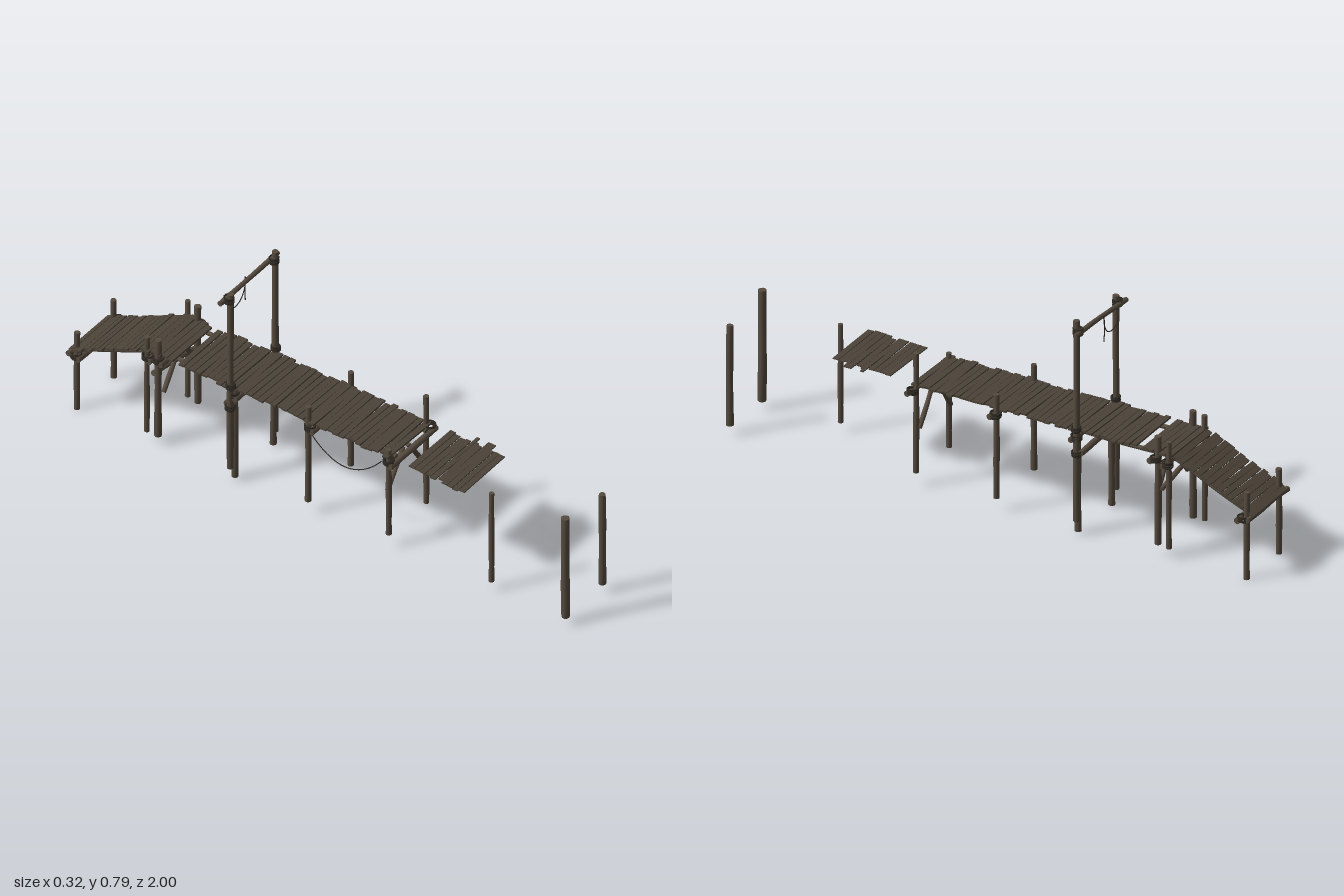
import * as THREE from 'three';

export function createModel() {
  const pier = new THREE.Group();
  pier.name = 'pier';
  const wood = new THREE.MeshStandardMaterial({ color: 0x564b3f, name: 'weathered wood' });
  const board = new THREE.MeshStandardMaterial({ color: 0x4c4338, name: 'plank wood' });
  const cord = new THREE.MeshStandardMaterial({ color: 0x2f2a24, name: 'dark rope' });

  let seed = 7;
  const rand = (a, b) => {
    seed = (seed * 16807) % 2147483647;
    return a + (b - a) * (seed / 2147483647);
  };
  const v = (x, y, z) => new THREE.Vector3(x, y, z);
  const add = (name, geometry, material) => {
    const mesh = new THREE.Mesh(geometry, material);
    mesh.name = name;
    pier.add(mesh);
    return mesh;
  };

  // Slightly crooked round log between two points
  function log(name, a, b, r) {
    const len = a.distanceTo(b);
    const g = new THREE.CylinderGeometry(r * 0.94, r, len, 10, 6);
    const p = g.attributes.position;
    const ph = rand(0, 6);
    for (let i = 0; i < p.count; i++) {
      const t = p.getY(i) / len + 0.5;
      const s = 1 + 0.06 * Math.sin(t * 9 + ph);
      const bend = Math.sin(t * Math.PI * 2 + ph) * r * 0.12;
      p.setXYZ(i, p.getX(i) * s + bend, p.getY(i), p.getZ(i) * s - bend);
    }
    g.computeVertexNormals();
    const m = add(name, g, wood);
    m.position.copy(a).lerp(b, 0.5);
    m.quaternion.setFromUnitVectors(v(0, 1, 0), b.clone().sub(a).normalize());
    return m;
  }
  const post = (name, x, z, y0, y1, r) => log(name, v(x, y0, z), v(x + rand(-0.002, 0.002), y1, z), r);

  // Turns of rope around a post
  function lashing(x, y, z, r, turns = 4) {
    for (let i = 0; i < turns; i++) {
      const m = add('lashing', new THREE.TorusGeometry(r, 0.0028, 5, 14), cord);
      m.position.set(x, y + (i - (turns - 1) / 2) * 0.005, z);
      m.rotation.set(Math.PI / 2 + rand(-0.12, 0.12), rand(-0.12, 0.12), 0);
    }
  }
  const rope = (name, points) =>
    add(name, new THREE.TubeGeometry(new THREE.CatmullRomCurve3(points), 24, 0.0018, 5), cord);

  // Row of uneven planks laid from a to b
  function planks(name, a, b, count, thick, width, cx, skip = []) {
    const pitch = a.distanceTo(b) / count;
    const slope = Math.atan2(b.y - a.y, a.z - b.z);
    for (let i = 0; i < count; i++) {
      const w = width + rand(-0.014, 0.008);
      const d = pitch * rand(0.84, 0.97);
      const offset = rand(-0.006, 0.006), turn = rand(-0.025, 0.025), lift = rand(-0.0015, 0.0015);
      if (skip.includes(i)) continue;
      const m = add(name, new THREE.BoxGeometry(w, thick, d), board);
      m.position.copy(a).lerp(b, (i + 0.5) / count);
      m.position.x = cx + offset;
      m.position.y += lift;
      m.rotation.set(slope, turn, rand(-0.008, 0.008));
    }
  }

  // Free-standing posts in front
  post('frontPost', -0.105, 0.985, 0.035, 0.44, 0.0145);
  post('frontPost', 0.1, 0.985, 0.04, 0.405, 0.0125);
  post('outerPost', -0.1, 0.685, 0.04, 0.4, 0.0095);

  // Pairs of deck posts: z, left x, right x, bottom, left top, right top, radius
  const bents = [
    [0.28, 0.1, -0.108, 0.055, 0.492, 0.4, 0.01],
    [-0.035, 0.118, -0.118, 0.055, 0.435, 0.44, 0.0105],
    [-0.64, 0.108, -0.112, 0.045, 0.44, 0.435, 0.012],
    [-0.685, 0.115, -0.112, 0.045, 0.435, 0.43, 0.0095],
    [-0.97, 0.1, -0.105, 0.003, 0.32, 0.315, 0.0105],
  ];
  for (const [z, xl, xr, y0, tl, tr, r] of bents) {
    post('deckPost', xl, z, y0, tl, r);
    post('deckPost', xr, z, y0, tr, r);
  }

  // Tall gate with a top beam, plus short doubling posts
  post('gatePost', 0.122, -0.34, 0.055, 0.79, 0.0115);
  post('gatePost', -0.128, -0.34, 0.06, 0.77, 0.0115);
  for (const s of [-1, 1]) post('gateSidePost', s * 0.106, -0.336, 0.012, 0.37, 0.011);
  log('gateBeam', v(-0.163, 0.744, -0.356), v(0.161, 0.753, -0.356), 0.0088);
  lashing(0.122, 0.752, -0.345, 0.0155, 5);
  lashing(-0.128, 0.746, -0.345, 0.0155, 5);

  // Cross beams and their lashings
  const beams = [
    [0.28, 0.352], [-0.035, 0.35], [-0.34, 0.35], [-0.64, 0.352], [-0.685, 0.345], [-0.97, 0.222],
  ];
  for (const [z, y] of beams) {
    log('crossBeam', v(-0.13, y + rand(-0.004, 0.004), z + 0.019), v(0.13, y, z + 0.019), 0.0115);
    for (const s of [-1, 1]) lashing(s * 0.115, y + 0.008, z + 0.005, 0.0175, 4);
  }
  log('crossBeam', v(-0.13, 0.235, -0.986), v(0.125, 0.232, -0.986), 0.01);
  log('lowerBeam', v(-0.125, 0.312, -0.356), v(0.125, 0.308, -0.356), 0.011);
  log('slantedBrace', v(-0.115, 0.295, -0.656), v(0.115, 0.255, -0.656), 0.009);
  for (const s of [-1, 1]) {
    lashing(s * 0.125, 0.393, -0.34, 0.0145, 4);
    lashing(s * 0.125, 0.305, -0.342, 0.0155, 4);
  }

  // Diagonal braces below the deck
  for (const z of [0.268, -0.628]) {
    for (const s of [-1, 1]) log('diagonalBrace', v(s * 0.098, 0.22, z), v(s * 0.012, 0.346, z), 0.0085);
  }

  // Stringers carrying the deck and ramp
  for (const x of [-0.088, 0.078]) {
    log('stringer', v(x, 0.369, 0.297), v(x, 0.369, -0.34), 0.0085);
    log('stringer', v(x + 0.008, 0.369, -0.3), v(x + 0.006, 0.367, -0.7), 0.0085);
    log('rampStringer', v(x, 0.362, -0.68), v(x, 0.228, -0.985), 0.0085);
  }

  // Decking
  planks('deckPlank', v(0, 0.38, 0.292), v(0, 0.38, -0.692), 43, 0.007, 0.235, -0.004, [37]);
  planks('rampPlank', v(0, 0.378, -0.692), v(0, 0.238, -0.996), 15, 0.007, 0.226, -0.009);

  // Detached deck section
  planks('loosePlank', v(0, 0.385, 0.6), v(0, 0.385, 0.372), 10, 0.004, 0.232, -0.015);
  for (const z of [0.47, 0.525]) {
    const m = add('loosePlank', new THREE.BoxGeometry(0.13, 0.004, z > 0.5 ? 0.03 : 0.012), board);
    m.position.set(0.062, 0.386, z);
  }

  // Hanging ropes
  rope('gateRope', [
    v(-0.118, 0.7, -0.354), v(-0.1, 0.682, -0.358), v(-0.07, 0.674, -0.36), v(-0.038, 0.683, -0.362),
    v(-0.015, 0.712, -0.364), v(-0.008, 0.755, -0.364),
  ]);
  rope('ropeEnd', [v(-0.008, 0.757, -0.366), v(-0.009, 0.71, -0.367), v(-0.008, 0.66, -0.366)]);
  const sag = [];
  for (let i = 0; i <= 8; i++) {
    const t = i / 4 - 1;
    sag.push(v(-0.125, 0.267 + 0.09 * t * t, 0.117 + 0.148 * t));
  }
  rope('sideRope', sag);
  return pier;
}
